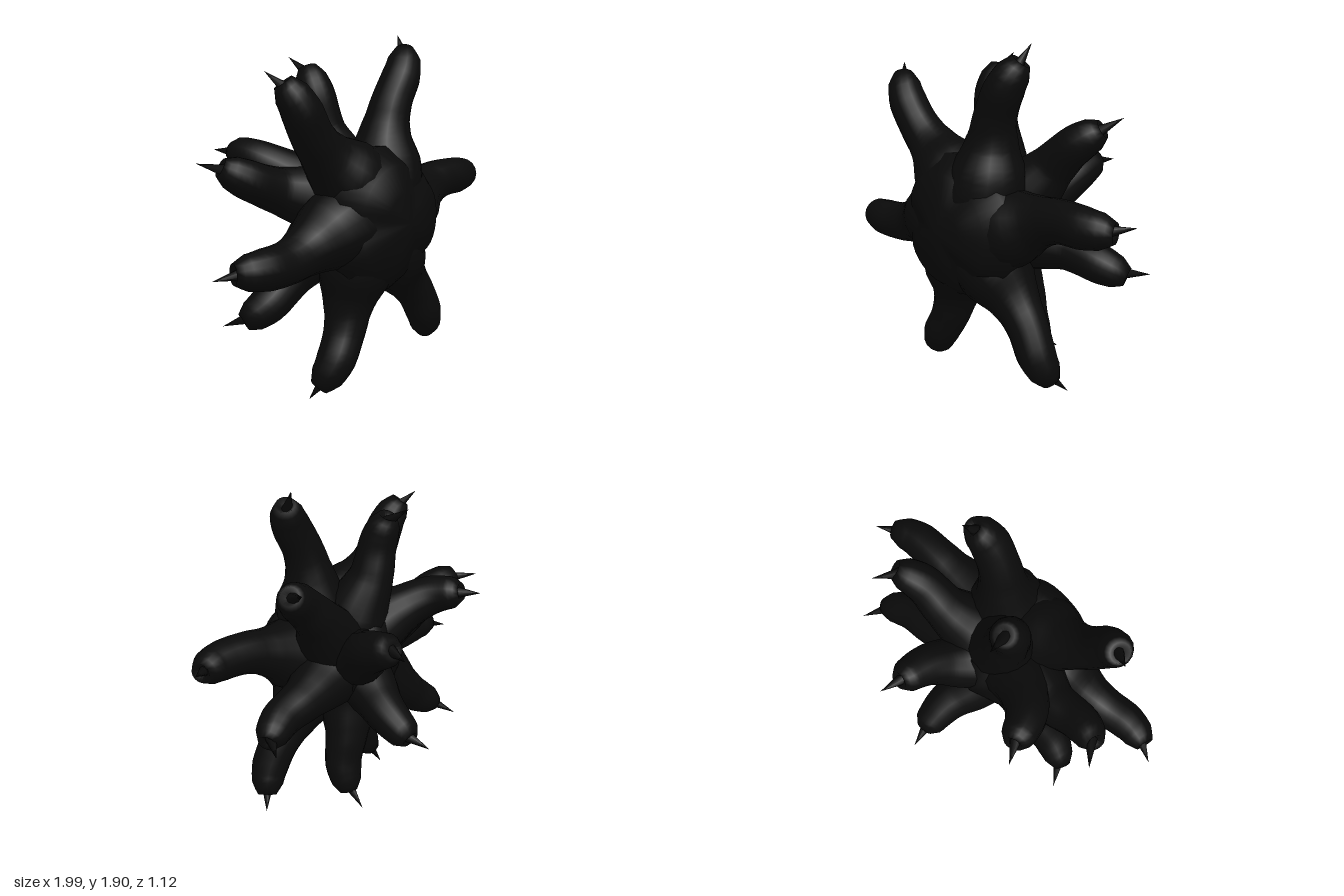
import * as THREE from 'three';
import { mergeVertices } from 'three/addons/utils/BufferGeometryUtils.js';

const CENTRE_Y = 0.955;
const STEPS = 28;

// Radius profile along an arm: [fraction of length, radius]
const FRONT_PROFILE = [[0, 0.2], [0.2, 0.222], [0.33, 0.195], [0.46, 0.143], [0.56, 0.119], [0.68, 0.108], [0.82, 0.104], [0.93, 0.088], [1, 0.052]];
const MID_PROFILE = [[0, 0.2], [0.25, 0.19], [0.4, 0.155], [0.55, 0.122], [0.7, 0.108], [0.83, 0.101], [0.93, 0.085], [1, 0.05]];
const REAR_PROFILE = [[0, 0.18], [0.25, 0.16], [0.5, 0.125], [0.75, 0.105], [0.92, 0.088], [1, 0.05]];

// Small turn of each arm about the centre, in degrees
const FRONT_TURN = [0, 0.8, 0, 0, -2, -4];
const MID_TURN = [1.3, -1.8, -3.7, -1, 1.8, 4.5];

function radiusAt(profile, u) {
  for (let i = 1; i < profile.length; i++) {
    const [u0, r0] = profile[i - 1], [u1, r1] = profile[i];
    if (u <= u1) return THREE.MathUtils.mapLinear(u, u0, u1, r0, r1);
  }
  return profile[profile.length - 1][1];
}

// Polar point around the front-to-back axis
function polar(r, degrees, z) {
  const a = THREE.MathUtils.degToRad(degrees);
  return new THREE.Vector3(r * Math.cos(a), CENTRE_Y + r * Math.sin(a), z);
}

// Drop seams and recompute smooth normals
function smooth(geo) {
  geo.deleteAttribute('uv');
  geo.deleteAttribute('normal');
  const merged = mergeVertices(geo, 1e-5);
  merged.computeVertexNormals();
  return merged;
}

// Swept arm with a wide root and a dimpled end
function armGeometry(curve, profile) {
  const sides = 16;
  const geo = new THREE.TubeGeometry(curve, STEPS, 1, sides, false);
  const pos = geo.attributes.position;
  const v = new THREE.Vector3();
  for (let i = 0; i <= STEPS; i++) {
    const dimple = i === STEPS;
    const centre = curve.getPointAt(i / STEPS);
    const u = dimple ? 0.95 : i / (STEPS - 1);
    const target = curve.getPointAt(u);
    const radius = dimple ? 0.001 : radiusAt(profile, u);
    for (let j = 0; j <= sides; j++) {
      const k = i * (sides + 1) + j;
      v.fromBufferAttribute(pos, k).sub(centre).multiplyScalar(radius).add(target);
      pos.setXYZ(k, v.x, v.y, v.z);
    }
  }
  return smooth(geo);
}

function makeArm(name, points, tip, profile, material) {
  const group = new THREE.Group();
  group.name = name;
  const curve = new THREE.CatmullRomCurve3(points);
  const arm = new THREE.Mesh(armGeometry(curve, profile), material);
  arm.name = 'curvedArm';

  // Claw spike rising out of the dimple
  const base = curve.getPointAt(0.94);
  const dir = tip.clone().sub(base);
  const spike = new THREE.Mesh(new THREE.ConeGeometry(0.034, dir.length(), 8), material);
  spike.name = 'claw';
  spike.position.copy(base).addScaledVector(dir, 0.5);
  spike.quaternion.setFromUnitVectors(new THREE.Vector3(0, 1, 0), dir.normalize());
  group.add(arm, spike);
  return group;
}

// Core with a shallow pointed front, pinched into six petals
function coreGeometry() {
  const outline = [[0, -0.18], [0.22, -0.1], [0.34, 0.08], [0.38, 0.25], [0.39, 0.38], [0.3, 0.487], [0.15, 0.523], [0, 0.555]];
  const geo = new THREE.LatheGeometry(outline.map(([r, z]) => new THREE.Vector2(r, z)), 48);
  geo.rotateX(Math.PI / 2);
  const pos = geo.attributes.position;
  for (let i = 0; i < pos.count; i++) {
    const x = pos.getX(i), y = pos.getY(i);
    const pinch = 1 - 0.1 * Math.abs(Math.sin(1.5 * Math.atan2(y, x))) ** 6;
    pos.setXY(i, x * pinch, y * pinch);
    if (pos.getZ(i) > 0.4) pos.setZ(i, pos.getZ(i) - (1 - pinch) * Math.hypot(x, y) * 0.8);
  }
  return smooth(geo);
}

export function createModel() {
  const model = new THREE.Group();
  model.name = 'clawedStarCreature';
  const black = new THREE.MeshStandardMaterial({ color: 0x0a0a0a });
  black.name = 'matteBlack';

  const core = new THREE.Mesh(coreGeometry(), black);
  core.name = 'core';
  core.position.y = CENTRE_Y;
  model.add(core);

  // Two rings of six arms: long front ones and shorter middle ones
  for (let i = 0; i < 6; i++) {
    const f = i * 60 + FRONT_TURN[i];
    model.add(makeArm('frontArm', [
      polar(0.04, i * 60, 0.25), polar(0.22, i * 60 + 4, 0.272), polar(0.45, f + 12.5, 0.262),
      polar(0.62, f + 13.5, 0.272), polar(0.8, f + 11, 0.28), polar(0.93, f + 9.5, 0.24),
    ], polar(1.01, f + 10.5, 0.18), FRONT_PROFILE, black));
    const m = i * 60 + MID_TURN[i];
    model.add(makeArm('middleArm', [
      polar(0.04, m + 36, 0.12), polar(0.25, m + 39, 0.07), polar(0.45, m + 43, 0.015),
      polar(0.64, m + 43, 0), polar(0.795, m + 41.5, -0.06),
    ], polar(0.85, m + 42, -0.185), MID_PROFILE, black));
  }

  // Three rear arms: path points, last one is the claw tip
  const rear = [
    [[0.04, 0.98, 0.05], [0.13, 1.03, -0.1], [0.22, 1.14, -0.26], [0.25, 1.22, -0.44], [0.29, 1.2, -0.54]],
    [[0.01, 0.87, 0.05], [0.04, 0.8, -0.1], [0.1, 0.74, -0.26], [0.12, 0.65, -0.45], [0.1, 0.63, -0.56]],
    [[-0.08, 1.03, 0.06], [-0.24, 1.15, -0.03], [-0.38, 1.25, -0.17], [-0.43, 1.3, -0.34], [-0.48, 1.3, -0.43]],
  ];
  for (const path of rear) {
    const points = path.map((p) => new THREE.Vector3(...p));
    const tip = points.pop();
    model.add(makeArm('rearArm', points, tip, REAR_PROFILE, black));
  }
  return model;
}
